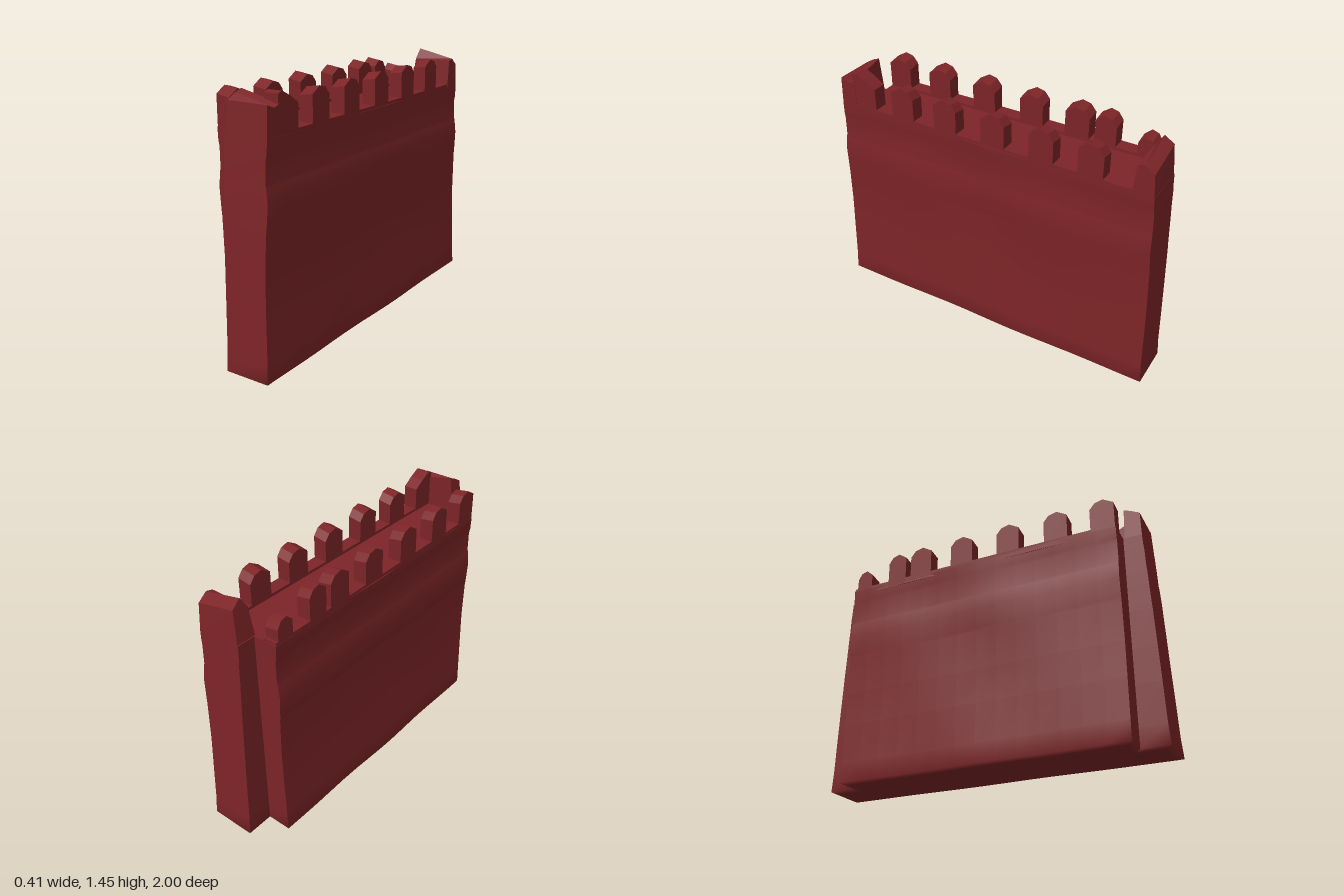
import * as THREE from 'three';

const DECK = 1.23;
const brick = new THREE.MeshStandardMaterial({ color: 0x7c2427 });
brick.name = 'dark red brick';

// Wall profile, bottom to top: [height, half thickness, half length of the outer face]
const ROWS = [
  [0, 0.17, 0.965], [0.01, 0.2, 1], [0.12, 0.197, 0.992], [0.35, 0.192, 0.985], [0.55, 0.188, 0.978],
  [0.77, 0.193, 0.97], [0.8, 0.196, 0.968], [0.92, 0.203, 0.963], [1.0, 0.195, 0.96],
  [1.02, 0.19, 0.958], [1.13, 0.19, 0.955], [1.16, 0.196, 0.952], [DECK, 0.199, 0.949],
];

// Plan of the wall at one row, as one list of points per face
function planFaces([y, t, e]) {
  const s = y < 0.005 ? 0.81 : 0.843; // half length of the inner face
  const c = y < 0.005 ? -0.03 : -0.06; // step between the inner and outer parts
  const corners = [[t, e], [t, -e], [c, -e], [c, -s], [-t, -s], [-t, s], [c, s], [c, e]];
  return corners.map((a, i) => {
    const b = corners[(i + 1) % corners.length];
    const n = i === 0 || i === 4 ? 14 : 1;
    return Array.from({ length: n + 1 }, (_, k) => {
      const u = k / n;
      // gentle unevenness of the old long faces
      const w = n > 1 ? 0.005 * Math.sin(u * Math.PI) * Math.sin(u * 13 + y * 6 + i) : 0;
      return [a[0] + (b[0] - a[0]) * u + w, a[1] + (b[1] - a[1]) * u];
    });
  });
}

// One face of the wall, smooth inside and sharp at its corners
function wallFace(rows, f) {
  const pos = [], index = [], n = rows[0][f].length;
  rows.forEach((r, j) => r[f].forEach(([x, z]) => pos.push(x, ROWS[j][0], z)));
  for (let j = 0; j < rows.length - 1; j++) {
    for (let k = 0; k < n - 1; k++) {
      const a = j * n + k, b = a + n;
      index.push(a, a + 1, b + 1, a, b + 1, b);
    }
  }
  const g = new THREE.BufferGeometry();
  g.setAttribute('position', new THREE.Float32BufferAttribute(pos, 3));
  g.setIndex(index);
  g.computeVertexNormals();
  return g;
}

// Flat cap over a plan
function cap(faces, y, up) {
  const pts = faces.flatMap(f => f.slice(0, -1)).map(([x, z]) => new THREE.Vector2(x, up ? -z : z));
  return new THREE.ShapeGeometry(new THREE.Shape(pts))
    .rotateX(up ? -Math.PI / 2 : Math.PI / 2).translate(0, y, 0);
}

// Block with a (z, y) profile, running from x0 to x1
function block(profile, x0, x1) {
  const shape = new THREE.Shape(profile.map(([z, y]) => new THREE.Vector2(z, y)));
  return new THREE.ExtrudeGeometry(shape, { depth: x1 - x0, bevelEnabled: false })
    .rotateY(-Math.PI / 2).translate(x1, 0, 0);
}

// Lets a rule move every vertex
function reshape(g, rule) {
  const p = g.attributes.position, v = new THREE.Vector3();
  for (let i = 0; i < p.count; i++) {
    rule(v.fromBufferAttribute(p, i));
    p.setXYZ(i, v.x, v.y, v.z);
  }
  g.computeVertexNormals();
  return g;
}

export function createModel() {
  const model = new THREE.Group();
  model.name = 'castleWall';
  const add = (name, g) => {
    const m = new THREE.Mesh(g, brick);
    m.name = name;
    model.add(m);
  };

  // Wall body
  const rows = ROWS.map(planFaces);
  rows[0].forEach((_, f) => add('wallFace', wallFace(rows, f)));
  add('walkway', cap(rows[rows.length - 1], DECK, true));
  add('underside', cap(rows[0], 0, false));

  // Low parapets under the merlons
  for (const [x, len] of [[0.158, 1.88], [-0.158, 1.68]]) {
    add('parapet', new THREE.BoxGeometry(0.08, 0.04, len).translate(x, DECK - 0.004, 0));
  }

  // Merlons with a bent top, lower toward the walkway
  const merlon = (side, z, w, top) => {
    const h = w / 2, y0 = DECK - 0.02;
    const profile = [[z - h, y0], [z + h, y0], [z + h, top - 0.035], [z + 0.01, top],
      [z - h * 0.55, top - 0.012], [z - h, top - 0.05]];
    const g = block(profile, side > 0 ? 0.118 : -0.198, side > 0 ? 0.198 : -0.118);
    add(side > 0 ? 'outerMerlon' : 'innerMerlon', reshape(g, v => {
      if (v.y > 1.3 && Math.abs(v.x) < 0.15) v.y -= 0.012;
    }));
  };
  for (const z of [0.525, 0.25, -0.045, -0.33, -0.607]) merlon(1, z, 0.14, 1.425);
  for (const z of [0.77, 0.495, 0.2, -0.1, -0.375]) merlon(-1, z, 0.14, 1.425);
  merlon(-1, -0.54, 0.12, 1.42);
  merlon(-1, -0.772, 0.1, 1.36);

  // Tall end blocks, leaning in and cut down at the outer corner
  const endRule = v => {
    if (v.x < 0) v.x += (v.y - DECK) * 0.12;
    if (v.x > 0.19 && v.y > 1.4) v.y -= 0.05;
  };
  const backEnd = [[-0.949, 1.21], [-0.83, 1.21], [-0.845, 1.39], [-0.885, 1.45], [-0.937, 1.41]];
  add('backEndBlock', reshape(block(backEnd, -0.055, 0.199), endRule));
  const frontEnd = [[0.85, 1.21], [0.949, 1.21], [0.942, 1.39], [0.89, 1.42], [0.85, 1.435]];
  add('frontEndBlock', reshape(block(frontEnd, -0.055, 0.199), endRule));
  const frontReturn = [[0.71, 1.21], [0.86, 1.21], [0.86, 1.43], [0.83, 1.44], [0.77, 1.41], [0.71, 1.37]];
  add('frontReturnMerlon', block(frontReturn, 0.115, 0.198));
  return model;
}
